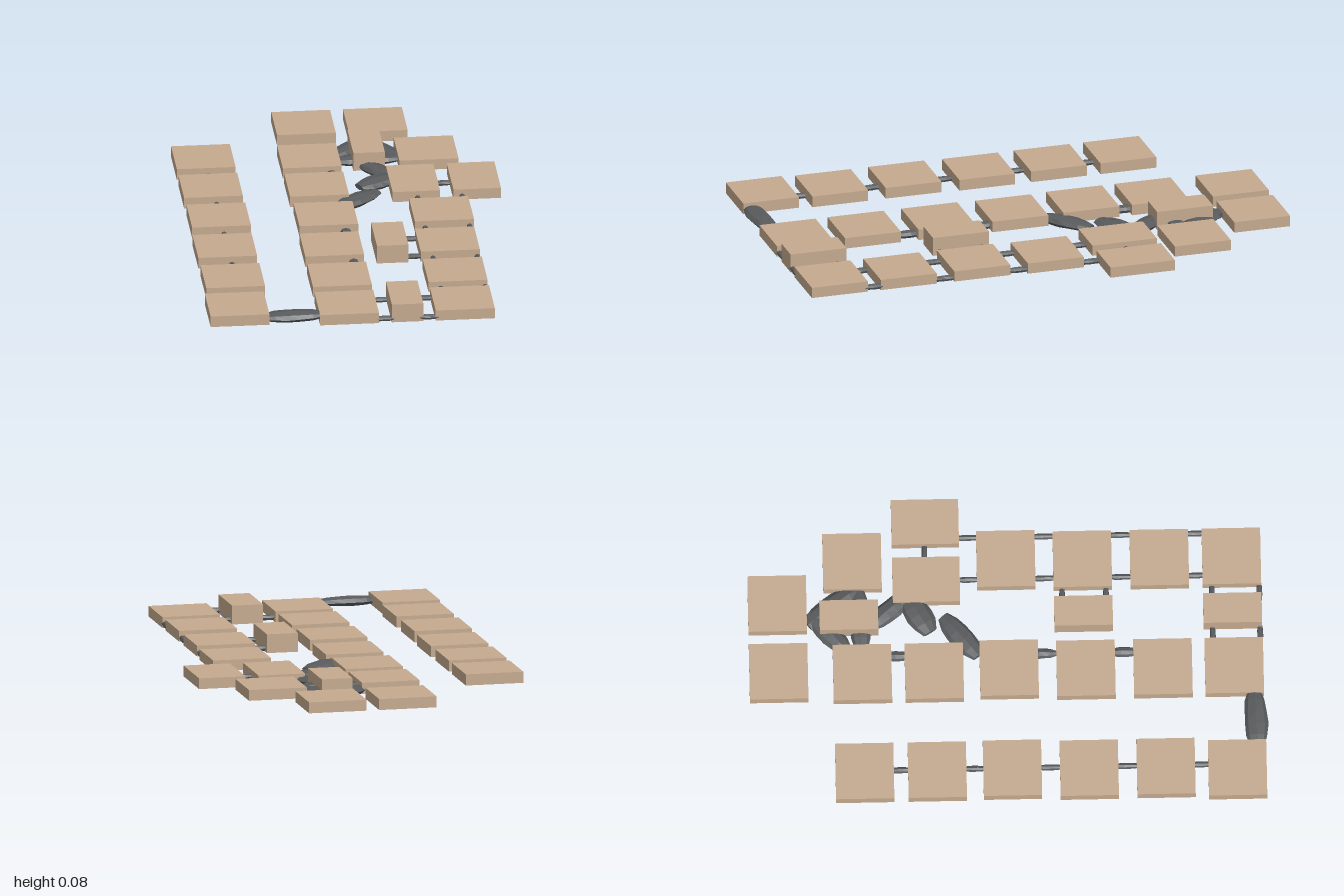
import * as THREE from 'three';

const tile = new THREE.MeshStandardMaterial({ color: 0xc4a98e });
tile.name = 'sandTile';
const stone = new THREE.MeshStandardMaterial({ color: 0x585a5c, flatShading: true });
stone.name = 'greyStone';

let seed = 7;
const rand = () => (seed = (seed * 16807) % 2147483647) / 2147483647;

export function createModel() {
  const group = new THREE.Group();

  // Flat slab given by its extents
  function slab(name, x0, x1, z0, z1, y0, y1) {
    const mesh = new THREE.Mesh(new THREE.BoxGeometry(x1 - x0, y1 - y0, z1 - z0), tile);
    mesh.position.set((x0 + x1) / 2, (y0 + y1) / 2, (z0 + z1) / 2);
    mesh.name = name;
    group.add(mesh);
  }

  // Rough tapered stone lying between two points on the floor plan
  function rock(name, ax, az, bx, bz, width, height, y) {
    const length = Math.hypot(bx - ax, bz - az);
    const geo = new THREE.CylinderGeometry(0.5, 0.5, 1, 8, 5);
    const pos = geo.attributes.position;
    const taper = [0.55, 0.9, 1, 0.97, 0.85, 0.5];
    const rough = Array.from({ length: 48 }, () => 0.88 + 0.12 * rand());
    for (let i = 0; i < pos.count; i++) {
      const px = pos.getX(i), py = pos.getY(i), pz = pos.getZ(i);
      const row = Math.round((py + 0.5) * 5);
      const side = (Math.round(Math.atan2(pz, px) / (Math.PI / 4)) + 8) % 8;
      const s = taper[row] * rough[row * 8 + side];
      pos.setXYZ(i, px * s * width, py * length, pz * s * height);
    }
    geo.rotateX(Math.PI / 2);
    geo.rotateY(Math.atan2(bx - ax, bz - az));
    geo.computeVertexNormals();
    const mesh = new THREE.Mesh(geo, stone);
    mesh.position.set((ax + bx) / 2, y, (az + bz) / 2);
    mesh.name = name;
    group.add(mesh);
  }

  // Raised left column of rooms: [x, z] of the near corner
  for (const [x, z] of [[-0.611, -0.676], [-0.611, -0.396], [-0.609, -0.106],
    [-0.615, 0.19], [-0.614, 0.486], [-0.625, 0.762]])
    slab('leftRoom', x, x + 0.228, z, z + 0.225, 0.02, 0.064);

  // Middle column, with the far pair
  for (const [x, z] of [[-0.2, -0.677], [-0.2, -0.4], [-0.193, -0.111], [-0.2, 0.185],
    [-0.2, 0.482], [-0.2, 0.757], [-0.19, -1], [0.088, -1]])
    slab('middleRoom', x, x + 0.228, z, z + 0.226, 0.007, 0.05);

  // Right column
  for (const [x, z] of [[0.255, -0.708], [0.255, -0.115], [0.248, 0.18],
    [0.248, 0.477], [0.248, 0.755]])
    slab('rightRoom', x, x + 0.229, z, z + 0.226, 0.007, 0.049);

  // Pair of deeper rooms at the right
  for (const x of [0.198, 0.434])
    slab('deepRoom', x, x + 0.184, -0.441, -0.181, 0.007, 0.049);

  // Tall narrow blocks
  for (const z of [-0.725, 0.18, 0.755])
    slab('tallBlock', 0.078, 0.2, z, z + 0.226, 0.007, 0.081);

  // Links along the left column
  for (const z of [-0.424, -0.139, 0.155, 0.45, 0.736])
    rock('leftLink', -0.485, z - 0.055, -0.485, z + 0.055, 0.026, 0.026, 0.032);

  // Links along the middle column
  for (const z of [-0.425, 0.13, 0.445])
    rock('middleLink', -0.013, z - 0.055, -0.013, z + 0.055, 0.044, 0.034, 0.02);

  // Double links along the right column
  for (const z of [-0.148, 0.146, 0.442, 0.73])
    for (const x of [0.295, 0.467])
      rock('rightLink', x, z - 0.055, x, z + 0.055, 0.026, 0.026, 0.021);

  // Cross links between neighbouring columns
  for (const [x, z] of [[0.053, 0.79], [0.053, 0.973], [0.224, 0.79], [0.224, 0.973],
    [0.224, 0.212], [0.224, 0.382], [0.407, -0.315]])
    rock('crossLink', x - 0.05, z, x + 0.05, z, 0.024, 0.024, 0.021);

  // Large boulders: winding trail at the back and a bridge at the front
  for (const [ax, az, bx, bz, w, y] of [
    [-0.42, 0.955, -0.18, 0.945, 0.095, 0.038],
    [0.01, -0.62, 0.17, -0.765, 0.09, 0.022],
    [0.12, -0.77, 0.27, -0.57, 0.1, 0.022],
    [0.01, -0.565, 0.27, -0.575, 0.085, 0.022],
    [0.11, -0.53, 0.24, -0.38, 0.09, 0.022],
    [0.08, -0.3, 0.25, -0.4, 0.11, 0.024],
    [-0.02, -0.115, 0.145, -0.25, 0.1, 0.024],
  ]) rock('boulder', ax, az, bx, bz, w, 0.042, y);

  return group;
}
